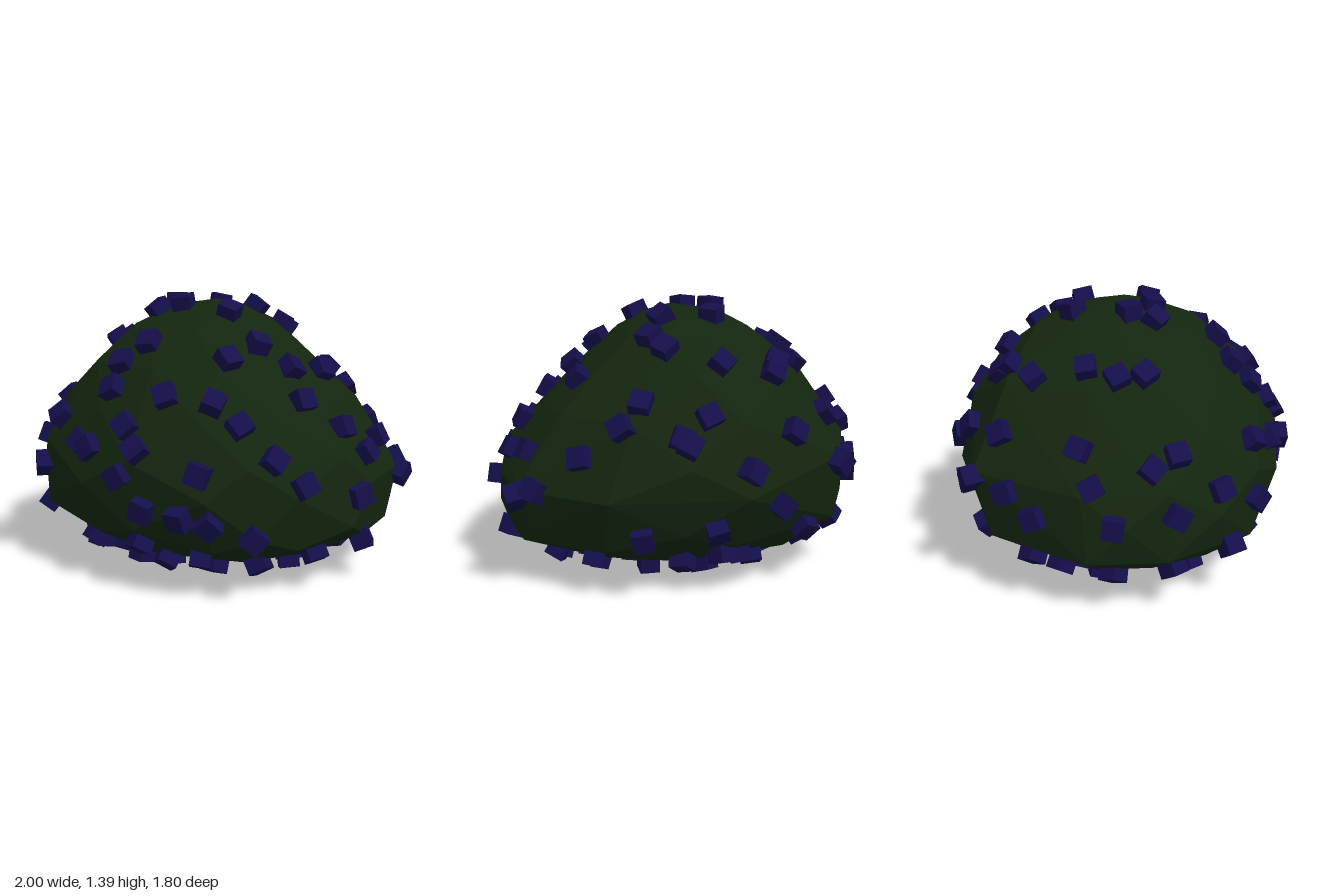
import * as THREE from 'three';
import { ConvexGeometry } from 'three/addons/geometries/ConvexGeometry.js';

// Plan outline of the bush, scaled to unit half-widths (x, z)
const OUTLINE = [
  [1, 0.1], [1, 0.32], [0.8, 0.63], [0.66, 0.84], [0.43, 0.94], [0, 1], [-0.33, 0.9],
  [-0.7, 0.74], [-0.87, 0.48], [-0.97, 0.2], [-1, -0.05], [-0.97, -0.29], [-0.8, -0.57],
  [-0.63, -0.87], [-0.05, -1], [0.27, -0.93], [0.65, -0.81], [0.8, -0.57], [1, -0.34],
];

// Horizontal sections: y, xMin, xMax, zMin, zMax
const LEVELS = [
  [0.075, -0.45, 0.45, -0.4, 0.42], [0.12, -0.64, 0.66, -0.56, 0.56],
  [0.23, -0.8, 0.9, -0.7, 0.76], [0.31, -0.92, 0.91, -0.78, 0.8],
  [0.5, -0.92, 0.94, -0.86, 0.87], [0.65, -0.9, 0.86, -0.87, 0.83],
  [0.85, -0.78, 0.71, -0.78, 0.75], [1.05, -0.61, 0.48, -0.67, 0.6],
  [1.22, -0.4, 0.3, -0.44, 0.41], [1.31, -0.22, 0.16, -0.22, 0.17],
];

// Berries on the crown, dropped from above (x, z)
const CROWN = [
  [-0.53, -0.61], [-0.43, -0.45], [-0.29, -0.56], [-0.26, -0.6], [0, -0.57], [-0.09, -0.25],
  [-0.48, -0.2], [-0.74, -0.24], [-0.54, -0.06], [-0.53, 0.07], [-0.2, 0.02], [-0.23, 0.14],
  [-0.09, 0.14], [0.17, 0.14], [0.15, -0.19], [0.25, -0.3], [0.22, -0.42], [0.4, -0.58],
  [0.5, -0.6], [0.56, -0.11], [0.84, -0.18], [0.67, -0.5], [0.36, 0.21], [0.51, 0.15],
  [0.62, 0.25], [0.78, 0.14], [0.31, 0.43], [-0.09, 0.46], [-0.21, 0.52], [-0.2, 0.62],
  [-0.05, 0.74], [0.12, 0.66], [0.34, 0.62], [0.47, 0.61], [0.26, -0.73], [0.12, -0.72],
  [-0.54, 0.58], [-0.76, 0.2], [-0.82, 0.08], [0.87, 0.05],
];

// Berries around the flanks, pushed in towards the middle (x, z, y)
const FLANK = [
  [-0.36, 0.77, 0.68], [-0.28, 0.78, 0.67], [-0.05, 0.88, 0.58], [0.04, 0.87, 0.7],
  [0.38, 0.82, 0.62], [0.7, 0.65, 0.67], [0.77, 0.52, 0.55], [0.95, 0.22, 0.46],
  [0.95, -0.29, 0.47], [0.93, -0.4, 0.51], [-0.95, -0.22, 0.69], [-0.93, -0.1, 0.52],
  [-0.92, 0.2, 0.55], [-0.82, -0.5, 0.5], [-0.72, -0.63, 0.6], [-0.56, -0.76, 0.62],
  [-0.32, -0.81, 0.78], [-0.22, -0.83, 0.45], [-0.05, -0.89, 0.63], [0.25, -0.82, 0.75],
  [-0.65, 0.6, 0.52], [-0.78, 0.42, 0.62], [0.08, 0.8, 0.43], [0.27, 0.8, 0.42],
  [0.42, 0.8, 0.4], [0.6, 0.7, 0.33], [0.01, 0.8, 0.25], [-0.38, 0.7, 0.2],
  [0.32, 0.7, 0.2], [-0.73, 0.5, 0.3], [0.88, 0.08, 0.22], [0.8, 0.36, 0.2],
  [0.8, -0.2, 0.16], [0.1, -0.8, 0.35], [-0.4, -0.7, 0.3], [0.45, -0.7, 0.32],
  [-0.7, -0.5, 0.27], [-0.85, -0.1, 0.22], [-0.85, 0.2, 0.25], [-0.1, -0.7, 0.18],
  [0.65, -0.5, 0.2],
];

// Small seeded generator
function seeded(seed) {
  return () => {
    seed = (seed * 16807) % 2147483647;
    return seed / 2147483647;
  };
}

// Faceted body: staggered rings wrapped in a hull
function foliageGeometry() {
  const points = [new THREE.Vector3(0.03, 1.35, 0.01)];
  LEVELS.forEach(([y, x0, x1, z0, z1], ring) => {
    OUTLINE.forEach(([u, v], i) => {
      if ((i + ring) % 2) return;
      points.push(new THREE.Vector3(u > 0 ? u * x1 : -u * x0, y, v > 0 ? v * z1 : -v * z0));
    });
  });
  return new ConvexGeometry(points);
}

export function createModel() {
  const model = new THREE.Group();
  model.name = 'berryBush';
  const green = new THREE.MeshStandardMaterial({ color: 0x14260f, flatShading: true });
  const blue = new THREE.MeshStandardMaterial({ color: 0x150f4b, flatShading: true });

  const foliage = new THREE.Mesh(foliageGeometry(), green);
  foliage.name = 'foliage';
  model.add(foliage);

  const berries = new THREE.Group();
  berries.name = 'berries';
  model.add(berries);

  const random = seeded(71);
  const cube = new THREE.BoxGeometry(0.1, 0.1, 0.1);
  const up = new THREE.Vector3(0, 1, 0);
  const ray = new THREE.Raycaster();

  // Seats a cube where a ray meets the foliage, turned to the surface
  function addBerry(origin, direction) {
    ray.set(origin, direction.normalize());
    const hit = ray.intersectObject(foliage)[0];
    if (!hit) return;
    const berry = new THREE.Mesh(cube, blue);
    berry.name = 'berry';
    berry.quaternion.setFromUnitVectors(up, hit.face.normal);
    berry.rotateY(random() * Math.PI);
    berry.rotateX((random() - 0.5) * 0.5);
    berry.position.copy(hit.point).addScaledVector(hit.face.normal, 0.012);
    berries.add(berry);
  }

  for (const [x, z] of CROWN) addBerry(new THREE.Vector3(x, 3, z), new THREE.Vector3(0, -1, 0));
  for (const [x, z, y] of FLANK) {
    addBerry(new THREE.Vector3(3 * x, y, 3 * z), new THREE.Vector3(-x, 0, -z));
  }

  // Berries scattered over the underside
  const count = 30;
  for (let i = 0; i < count; i++) {
    const r = 0.72 * Math.sqrt((i + 0.5) / count);
    const a = i * 2.4 + random() * 0.4;
    addBerry(new THREE.Vector3(r * Math.cos(a), -1, 0.92 * r * Math.sin(a)), new THREE.Vector3(0, 1, 0));
  }

  return model;
}
